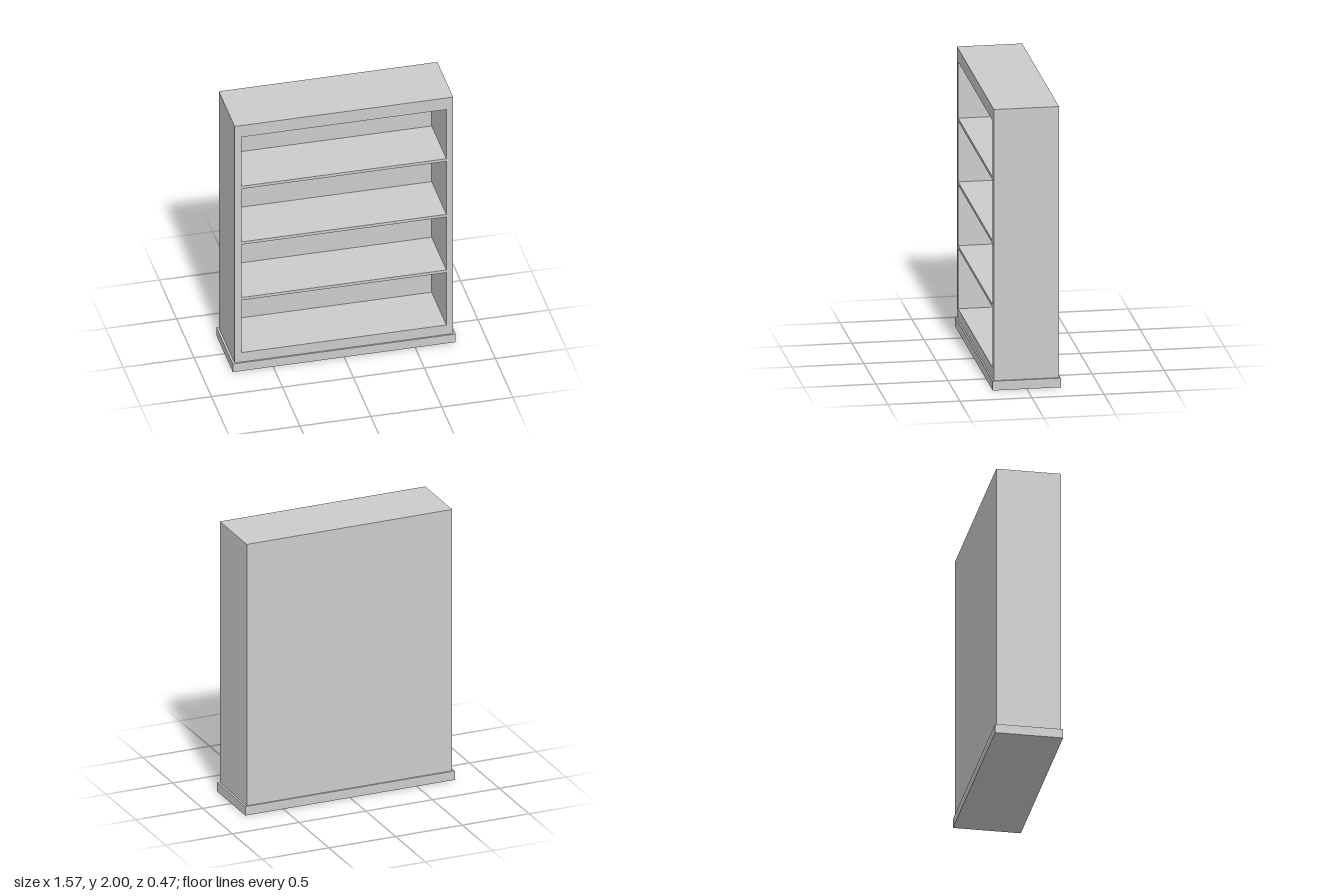
import * as THREE from 'three';

const WIDTH = 1.54, DEPTH = 0.452, HEIGHT = 2;
const PLINTH = 0.066, BACK = 0.03, INNER = 0.722;
// bottom and top heights of the four open bays
const BAYS = [[0.143, 0.571], [0.593, 1.026], [1.048, 1.481], [1.503, 1.905]];

function rectangle(path, x, y0, y1) {
  path.moveTo(-x, y0);
  path.lineTo(x, y0);
  path.lineTo(x, y1);
  path.lineTo(-x, y1);
  path.closePath();
  return path;
}

export function createModel() {
  const group = new THREE.Group();
  group.name = 'bookcase';
  const material = new THREE.MeshStandardMaterial({ color: 0xcccccc });

  function add(name, geometry, x, y, z) {
    const mesh = new THREE.Mesh(geometry, material);
    mesh.name = name;
    mesh.position.set(x, y, z);
    group.add(mesh);
  }

  // sides, top, bottom and shelves as one carcass pierced by the bays
  const outline = rectangle(new THREE.Shape(), WIDTH / 2, PLINTH, HEIGHT);
  outline.holes = BAYS.map(([y0, y1]) => rectangle(new THREE.Path(), INNER, y0, y1));
  const carcass = new THREE.ExtrudeGeometry(outline, { depth: DEPTH - BACK, bevelEnabled: false });
  add('carcassWithShelves', carcass, 0, 0, -DEPTH / 2 + BACK);

  // panel closing the rear
  const backHeight = HEIGHT - PLINTH;
  add('backPanel', new THREE.BoxGeometry(WIDTH, backHeight, BACK),
    0, PLINTH + backHeight / 2, (BACK - DEPTH) / 2);

  // slightly projecting base
  add('plinth', new THREE.BoxGeometry(1.57, PLINTH, 0.473), 0, PLINTH / 2, 0);

  return group;
}
